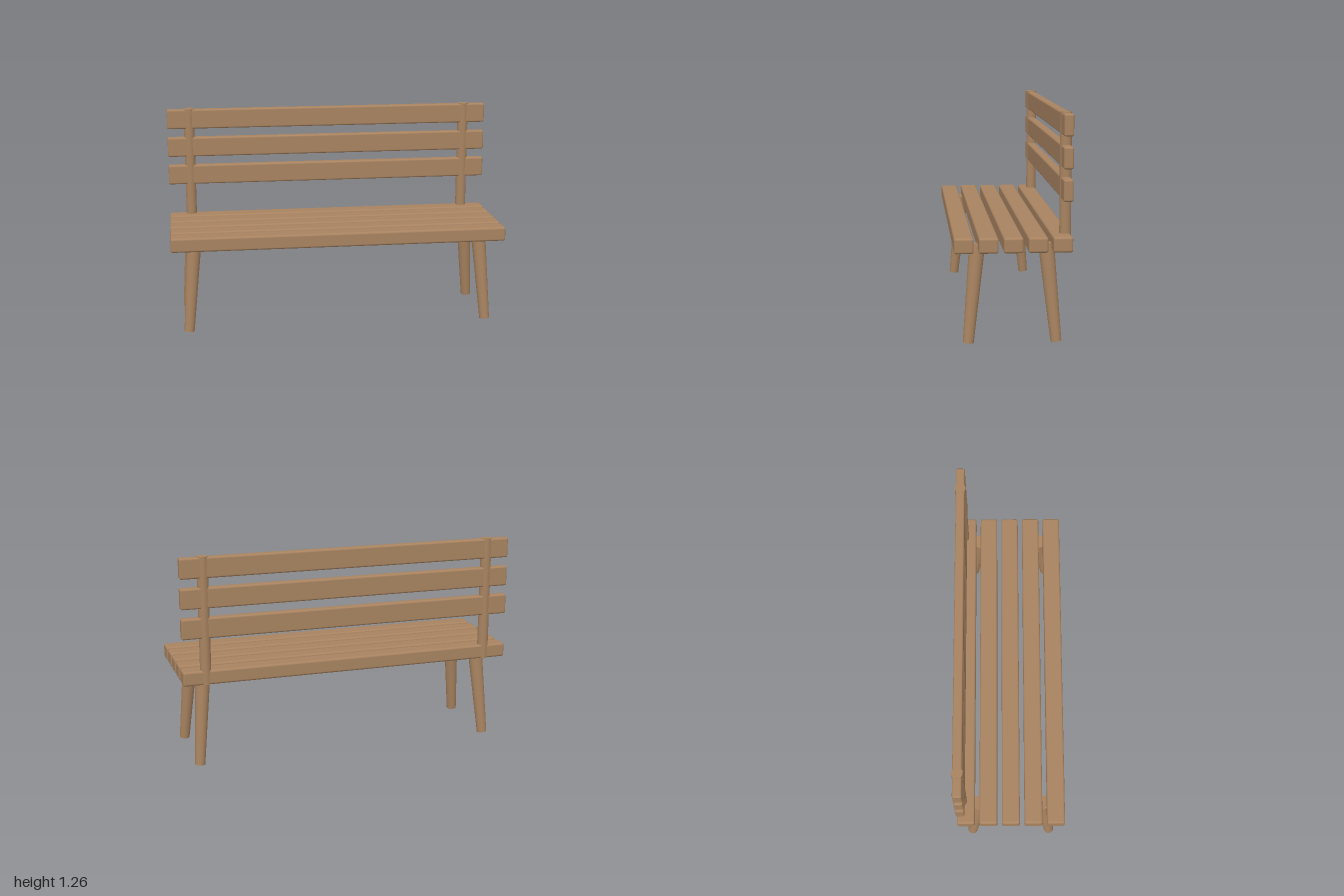
import * as THREE from 'three';
import { RoundedBoxGeometry } from 'three/addons/geometries/RoundedBoxGeometry.js';

export function createModel() {
  const bench = new THREE.Group();
  bench.name = 'bench';
  const wood = new THREE.MeshStandardMaterial({ color: 0xa88360 });
  wood.name = 'wood';

  const add = (name, geometry, x, y, z) => {
    const mesh = new THREE.Mesh(geometry, wood);
    mesh.name = name;
    mesh.position.set(x, y, z);
    bench.add(mesh);
    return mesh;
  };

  // Five seat slats
  const seatGeometry = new RoundedBoxGeometry(2, 0.085, 0.106, 3, 0.013);
  for (let i = 0; i < 5; i++) add('seatSlat', seatGeometry, 0, 0.556, 0.27 - i * 0.1334);

  // Three backrest slats
  const backGeometry = new RoundedBoxGeometry(2, 0.12, 0.053, 3, 0.011);
  for (let i = 0; i < 3; i++) add('backSlat', backGeometry, 0, 0.848 + i * 0.1745, -0.289);

  // Upright posts holding the backrest
  const postGeometry = new THREE.CylinderGeometry(0.032, 0.032, 0.745, 32);

  // Tapered legs, splayed outwards
  const up = new THREE.Vector3(0, 1, 0);
  for (const sx of [-1, 1]) {
    add('backPost', postGeometry, sx * 0.865, 0.8875, -0.289);
    for (const sz of [-1, 1]) {
      const foot = new THREE.Vector3(sx * 0.905, 0.0035, 0.003 + sz * 0.241);
      const head = new THREE.Vector3(sx * 0.862, 0.545, 0.003 + sz * 0.188);
      const axis = head.clone().sub(foot);
      const geometry = new THREE.CylinderGeometry(0.044, 0.03, axis.length(), 32);
      const middle = foot.clone().add(head).multiplyScalar(0.5);
      const leg = add(sz > 0 ? 'frontLeg' : 'backLeg', geometry, middle.x, middle.y, middle.z);
      leg.quaternion.setFromUnitVectors(up, axis.normalize());
    }
  }
  return bench;
}
